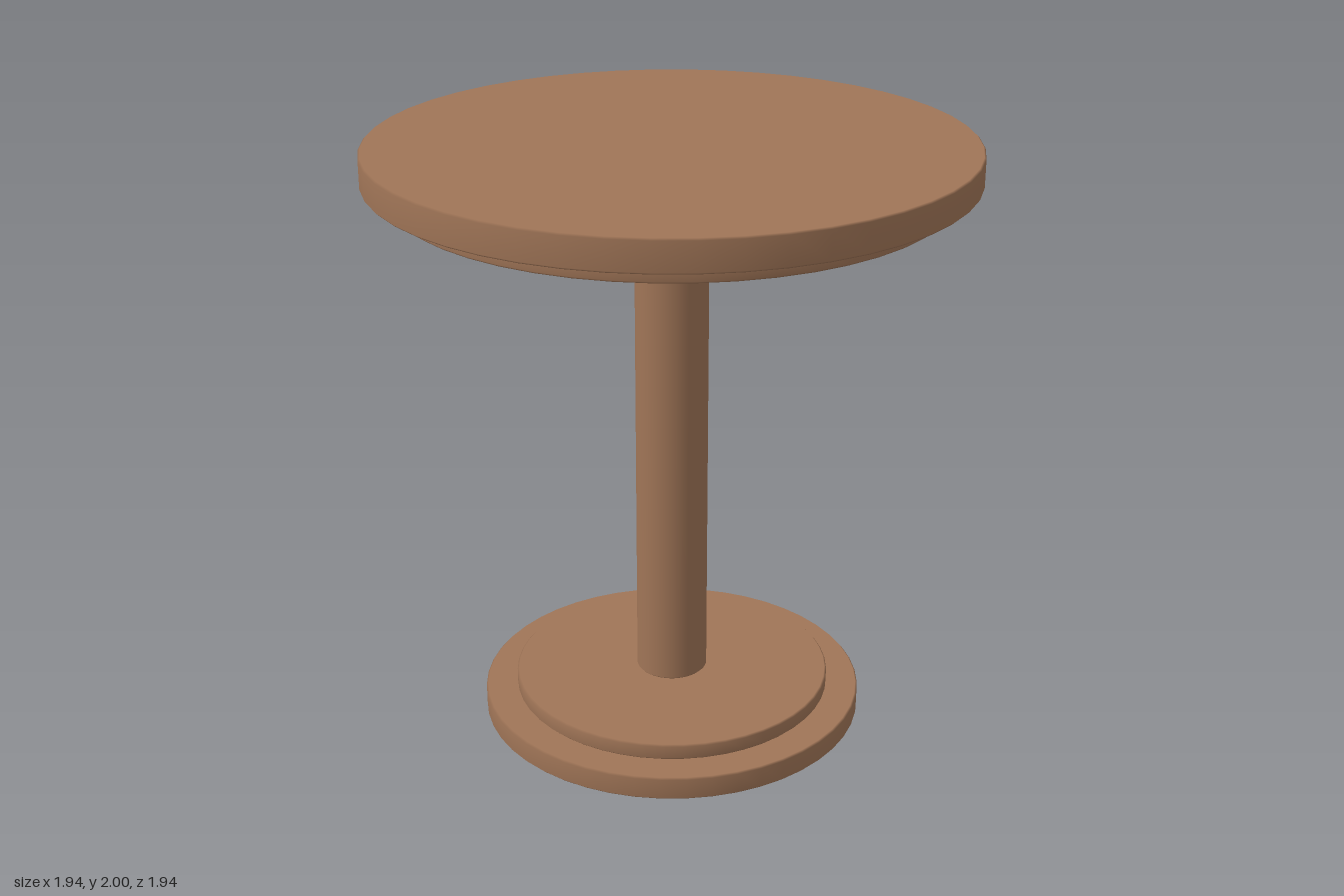
import * as THREE from 'three';

const wood = new THREE.MeshStandardMaterial({ color: 0xa07557 });
wood.name = 'brown wood';

// Solid disc from y0 to y1 with a softly eased edge
function turnedDisc(name, radius, y0, y1, ease = 0.006) {
  const profile = [
    [0, y0],
    [radius - ease, y0],
    [radius, y0 + ease],
    [radius, y1 - ease],
    [radius - ease, y1],
    [0, y1],
  ].map(([x, y]) => new THREE.Vector2(x, y));
  const mesh = new THREE.Mesh(new THREE.LatheGeometry(profile, 48), wood);
  mesh.name = name;
  return mesh;
}

export function createModel() {
  const table = new THREE.Group();
  table.name = 'pedestalTable';
  table.add(
    // Stepped foot
    turnedDisc('base', 0.647, 0, 0.08),
    turnedDisc('baseStep', 0.538, 0.08, 0.135),
    // Column and the collar that meets the top
    turnedDisc('column', 0.12, 0.135, 1.84),
    turnedDisc('collar', 0.16, 1.827, 1.85, 0.004),
    // Top with a recessed apron below it
    turnedDisc('apron', 0.89, 1.843, 1.897),
    turnedDisc('tabletop', 0.972, 1.897, 2),
  );
  return table;
}
